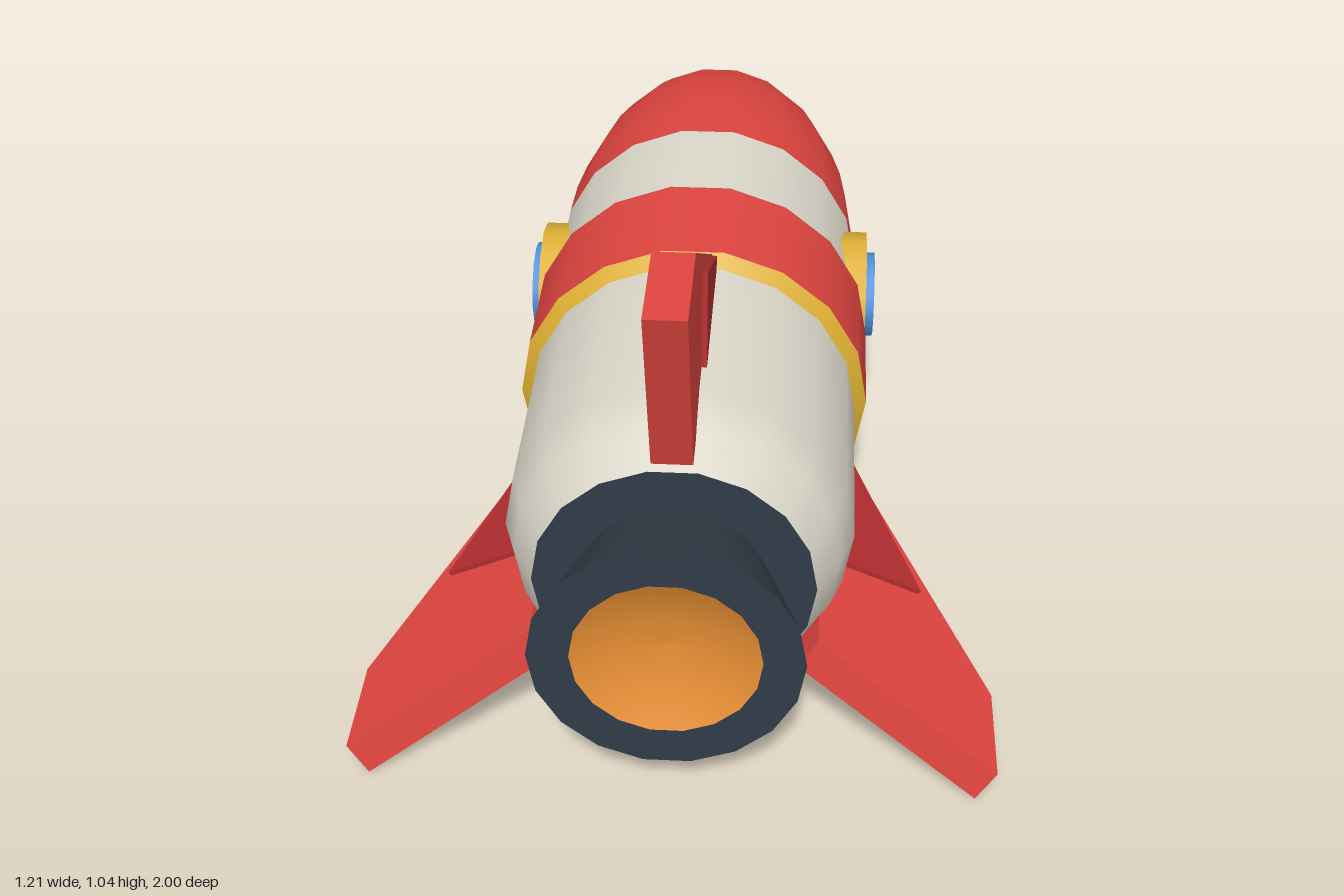
import * as THREE from 'three';

const AXIS_Y = 0.372; // height of the rocket's long axis
const SIDES = 18;

const mat = (name, color, extra = {}) => {
  const m = new THREE.MeshStandardMaterial({ color, ...extra });
  m.name = name;
  return m;
};

export function createModel() {
  const red = mat('red', 0xe04540);
  const darkRed = mat('dark red', 0xb22d30);
  const cream = mat('cream', 0xdcd8cb);
  const gold = mat('gold', 0xdcae32);
  const charcoal = mat('charcoal', 0x303c47);
  const blue = mat('blue', 0x4f8fdc);
  const orange = mat('orange', 0xe68e34);

  const rocket = new THREE.Group();
  rocket.name = 'rocket';
  rocket.position.y = AXIS_Y;

  const add = (parent, name, geometry, material) => {
    const mesh = new THREE.Mesh(geometry, material);
    mesh.name = name;
    parent.add(mesh);
    return mesh;
  };

  // Surface of revolution around z; profile points are [radius, z]
  const turned = (name, profile, material) => {
    const points = profile.map(([r, z]) => new THREE.Vector2(r, z));
    const geometry = new THREE.LatheGeometry(points, SIDES, Math.PI / 18);
    geometry.rotateX(Math.PI / 2);
    return add(rocket, name, geometry, material);
  };

  // Nose cone: half an ellipse
  const nose = [];
  for (let i = 0; i <= 10; i++) {
    const a = (i / 10) * Math.PI / 2;
    nose.push([0.33 * Math.sin(a), -0.32 - 0.68 * Math.cos(a)]);
  }
  turned('noseCone', nose, red);

  // Hull with tapered tail
  turned('hull', [[0.33, -0.32], [0.33, 0.2], [0.33, 0.645], [0.305, 0.72], [0.262, 0.8]], cream);
  turned('tailPlate', [[0.262, 0.8], [0, 0.8]], charcoal);

  // Middle band with chamfered gold trims
  turned('middleBand', [[0.355, -0.035], [0.355, 0.215]], red);
  turned('frontTrim', [[0.33, -0.057], [0.355, -0.035]], gold);
  turned('rearTrim', [[0.355, 0.215], [0.33, 0.238]], gold);

  // Engine nozzle and glowing bowl
  turned('nozzle', [[0.175, 0.8], [0.247, 1]], charcoal);
  turned('nozzleRim', [[0.247, 1], [0.171, 1]], charcoal);
  turned('engineGlow', [[0.171, 1], [0.12, 0.975], [0.06, 0.96], [0, 0.955]], orange);

  // Portholes on both sides
  for (const side of [1, -1]) {
    const porthole = new THREE.Group();
    porthole.name = side > 0 ? 'leftPorthole' : 'rightPorthole';
    const disc = (name, radius, from, to, material) => {
      const geometry = new THREE.CylinderGeometry(radius, radius, to - from, 12);
      geometry.rotateZ(Math.PI / 2);
      add(porthole, name, geometry, material).position.x = side * (from + to) / 2;
    };
    disc('portholeFrame', 0.136, 0.26, 0.354, gold);
    disc('portholeGlass', 0.092, 0.3, 0.373, blue);
    porthole.position.z = -0.188;
    rocket.add(porthole);
  }

  // Fin plates; outline points are [z, radius]
  const plate = (outline, thickness) => {
    const shape = new THREE.Shape(outline.map(([z, r]) => new THREE.Vector2(z, r)));
    const geometry = new THREE.ExtrudeGeometry(shape, { depth: thickness, bevelEnabled: false });
    geometry.translate(0, 0, -thickness / 2);
    geometry.rotateY(-Math.PI / 2);
    return geometry;
  };
  const finGeometry = plate([[0.21, 0.288], [0.815, 0.288], [0.94, 0.675], [0.735, 0.675], [0.21, 0.342]], 0.075);
  const braceGeometry = plate([[0.22, 0.3], [0.575, 0.3], [0.545, 0.515], [0.22, 0.345]], 0.095);

  ['topFin', 'rightFin', 'leftFin'].forEach((name, i) => {
    const fin = new THREE.Group();
    fin.name = name;
    add(fin, 'finBlade', finGeometry, red);
    add(fin, 'finBrace', braceGeometry, darkRed);
    fin.rotation.z = (i * Math.PI * 2) / 3;
    rocket.add(fin);
  });

  const model = new THREE.Group();
  model.name = 'model';
  model.add(rocket);
  return model;
}
